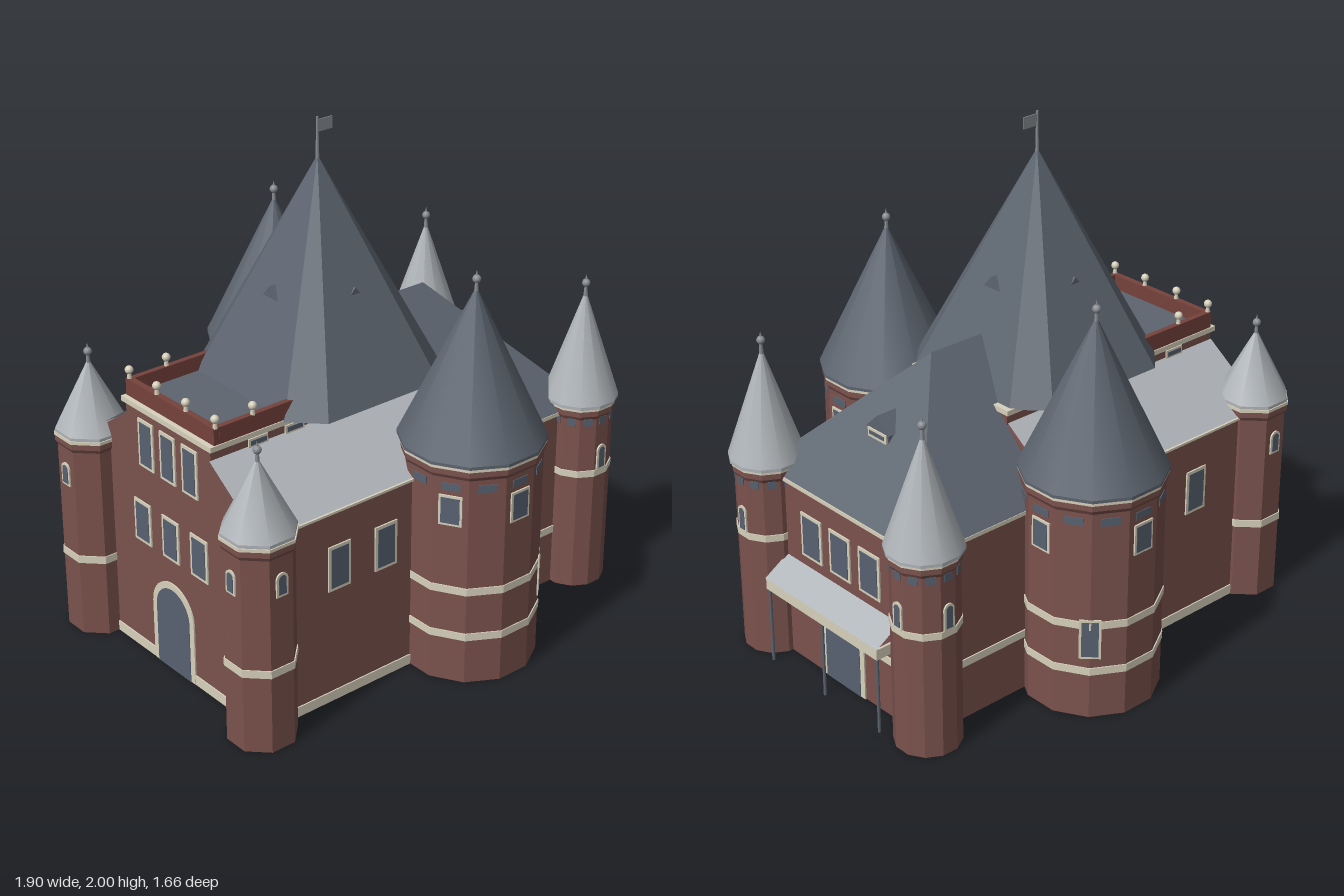
import * as THREE from 'three';

const mat = (name, color, extra = {}) => Object.assign(new THREE.MeshStandardMaterial({ color, ...extra }), { name });
const both = { side: THREE.DoubleSide };

export function createModel() {
  const brick = mat('brick', 0x7b524d, both), darkBrick = mat('parapet brick', 0x76423b);
  const cream = mat('cream stone', 0xd8d1bd), slate = mat('slate', 0x5d6570, both);
  const pale = mat('pale lead', 0xb0b5b9, both), glass = mat('glass', 0x576270);
  const metal = mat('metal', 0x8a8e93);

  const model = new THREE.Group();
  model.name = 'gatehouse';

  const add = (name, geo, material, x = 0, y = 0, z = 0, parent = model) => {
    const m = new THREE.Mesh(geo, material);
    m.name = name;
    m.position.set(x, y, z);
    parent.add(m);
    return m;
  };
  // box given by its limits
  const box = (name, m, x0, x1, y0, y1, z0, z1) =>
    add(name, new THREE.BoxGeometry(x1 - x0, y1 - y0, z1 - z0), m, (x0 + x1) / 2, (y0 + y1) / 2, (z0 + z1) / 2);
  // flat convex polygons with corners counter-clockwise
  const faces = (name, m, polys) => {
    const p = [];
    for (const f of polys) for (let i = 1; i < f.length - 1; i++) p.push(...f[0], ...f[i], ...f[i + 1]);
    const g = new THREE.BufferGeometry();
    g.setAttribute('position', new THREE.Float32BufferAttribute(p, 3));
    g.computeVertexNormals();
    return add(name, g, m);
  };
  const faceted = (geo) => {
    const g = geo.toNonIndexed();
    g.computeVertexNormals();
    return g;
  };
  // walls open at the bottom, from a [z, y] section run along x
  const shell = (name, section, x0, x1) => {
    const at = (x) => section.map(([z, y]) => [x, y, z]);
    const a = at(x0), b = at(x1), polys = [a, [...b].reverse()];
    for (let i = 0; i < a.length - 1; i++) polys.push([a[i], b[i], b[i + 1], a[i + 1]]);
    faces(name, brick, polys);
  };
  // raised course around a rectangular block
  const course = (name, x0, x1, y0, y1, z0, z1, t, westSide = true) => {
    box(name, cream, x0, x1 + t, y0, y1, z1, z1 + t);
    box(name, cream, x0, x1 + t, y0, y1, z0 - t, z0);
    box(name, cream, x1, x1 + t, y0, y1, z0, z1);
    if (westSide) box(name, cream, x0 - t, x0, y0, y1, z0 - t, z1 + t);
  };
  // window or door plate standing on its own origin
  const plate = (w, h, y0, arched, depth) => {
    const s = new THREE.Shape();
    s.moveTo(-w / 2, y0);
    s.lineTo(w / 2, y0);
    if (arched) s.absarc(0, h - w / 2, w / 2, 0, Math.PI, false);
    else s.lineTo(w / 2, h).lineTo(-w / 2, h);
    s.closePath();
    return new THREE.ExtrudeGeometry(s, { depth, bevelEnabled: false, curveSegments: 10 });
  };
  // framed opening facing the direction (sin a, 0, cos a)
  const opening = (name, x, y, z, a, w, h, { arched = false, rim = 0.012, sill = rim } = {}) => {
    const g = new THREE.Group();
    g.name = name;
    g.position.set(x, y, z);
    g.rotation.y = a;
    add('frame', plate(w, h, 0, arched, 0.006), cream, 0, 0, 0, g);
    add('pane', plate(w - 2 * rim, h - rim, sill, arched, 0.008), glass, 0, 0, 0, g);
    model.add(g);
  };
  const EAST = Math.PI / 2, WEST = -Math.PI / 2;

  // west block with shoulders under the lean-to roofs
  shell('westBlock', [[0.52, 0], [0.52, 0.78], [0.25, 0.97], [-0.25, 0.97], [-0.52, 0.78], [-0.52, 0]], -0.82, 0.24);
  course('westPlinth', -0.82, 0.24, 0, 0.04, -0.52, 0.52, 0.005);
  box('centreBlock', brick, -0.82, 0.24, 0.9, 1.02, -0.25, 0.25);
  box('centreCornice', cream, -0.83, 0.25, 1.015, 1.035, -0.265, 0.265);
  for (const s of [1, -1]) {
    faces('leanToRoof', pale, [s > 0
      ? [[-0.825, 0.784, 0.524], [0.235, 0.784, 0.524], [0.235, 0.977, 0.25], [-0.825, 0.977, 0.25]]
      : [[-0.825, 0.977, -0.25], [0.235, 0.977, -0.25], [0.235, 0.784, -0.524], [-0.825, 0.784, -0.524]]]);
    box('eaveMoulding', cream, -0.82, 0.1, 0.774, 0.783, s * 0.525 - 0.006, s * 0.525 + 0.006);
    const a = s > 0 ? 0 : Math.PI;
    for (const x of [-0.473, -0.257]) opening('sideWindow', x, 0.462, s * 0.52, a, 0.102, 0.18);
    for (const x of [-0.615, -0.452]) opening('atticWindow', x, 0.972, s * 0.25, a, 0.085, 0.034, { rim: 0.008 });
  }

  // west face
  opening('westDoor', -0.82, 0, 0, WEST, 0.25, 0.37, { arched: true, rim: 0.026, sill: 0 });
  for (const z of [-0.17, 0, 0.17]) opening('westWindow', -0.82, 0.47, z, WEST, 0.1, 0.17);
  for (const z of [-0.13, 0, 0.13]) opening('westUpperWindow', -0.82, 0.79, z, WEST, 0.09, 0.19);

  // roof terrace with parapet and ball ornaments
  box('terraceFloor', slate, -0.8, -0.4, 1.03, 1.042, -0.245, 0.245);
  box('parapetEnd', darkBrick, -0.81, -0.785, 1.035, 1.1, -0.26, 0.26);
  for (const s of [1, -1]) box('parapetSide', darkBrick, -0.785, -0.42, 1.035, 1.1, s * 0.25 - 0.011, s * 0.25 + 0.011);
  for (const [x, z] of [[-0.8, -0.25], [-0.8, -0.083], [-0.8, 0.088], [-0.8, 0.255], [-0.638, -0.25], [-0.638, 0.255]]) {
    add('parapetBall', new THREE.SphereGeometry(0.016, 10, 8), cream, x, 1.133, z);
    add('ballStem', new THREE.CylinderGeometry(0.006, 0.01, 0.025, 6), cream, x, 1.11, z);
  }

  // great eight-sided spire
  const cx = -0.14, cz = 0.008, tip = [cx, 1.86, cz];
  const rim = [[0.26, 0.37], [0.37, 0.26], [0.37, -0.26], [0.26, -0.37], [-0.26, -0.37], [-0.37, -0.26], [-0.37, 0.26], [-0.26, 0.37]]
    .map(([x, z]) => [cx + x, 1.03, cz + z]);
  faces('greatSpire', slate, [...rim.map((p, i) => [p, rim[(i + 1) % 8], tip]), [...rim].reverse()]);
  // little triangular vents, the front and back ones set deeper
  for (let k = 0; k < 4; k++) {
    const d = k % 2 ? 0.222 : 0.207;
    const v = faces('spireVent', slate, [
      [[-0.04, 1.375, d], [0.04, 1.375, d], [0, 1.42, d]],
      [[0.04, 1.375, d], [0.04, 1.375, 0.19], [0, 1.42, 0.18], [0, 1.42, d]],
      [[-0.04, 1.375, 0.19], [-0.04, 1.375, d], [0, 1.42, d], [0, 1.42, 0.18]]]);
    v.position.set(cx, 0, cz);
    v.rotation.y = k * Math.PI / 2;
  }
  add('flagPole', new THREE.CylinderGeometry(0.004, 0.007, 0.16, 6), metal, cx, 1.92, cz);
  box('flag', metal, cx, cx + 0.068, 1.944, 1.989, cz - 0.002, cz + 0.002);

  // east block with hipped roof
  const z0 = -0.455, z1 = 0.438;
  shell('eastBlock', [[z1, 0], [z1, 0.74], [z0, 0.74], [z0, 0]], 0.235, 0.82);
  course('eastCornice', 0.24, 0.82, 0.734, 0.749, z0, z1, 0.011, false);
  course('eastBand', 0.24, 0.82, 0.22, 0.25, z0, z1, 0.005, false);
  const A = [0.1, 0.75, z1 + 0.01], B = [0.828, 0.75, z1 + 0.01], C = [0.828, 0.75, z0 - 0.01], D = [0.1, 0.75, z0 - 0.01];
  const R = [0.1, 1.22, -0.008], Q = [0.385, 1.22, -0.008];
  faces('hippedRoof', slate, [[A, B, Q, R], [B, C, Q], [C, D, R, Q]]);

  // dormer in the hip
  box('dormerCheek', slate, 0.56, 0.63, 0.93, 0.99, -0.058, 0.058);
  opening('dormerWindow', 0.63, 0.95, 0, EAST, 0.102, 0.04, { rim: 0.01, sill: 0.015 });
  faces('dormerRoof', slate, [
    [[0.632, 0.99, 0.063], [0.632, 0.99, -0.063], [0.632, 1.05, 0]],
    [[0.55, 0.99, 0.063], [0.632, 0.99, 0.063], [0.632, 1.05, 0], [0.53, 1.05, 0]],
    [[0.632, 0.99, -0.063], [0.55, 0.99, -0.063], [0.53, 1.05, 0], [0.632, 1.05, 0]]]);

  // east face: door, windows and canopy on posts
  opening('eastDoor', 0.82, 0, -0.003, EAST, 0.245, 0.305, { arched: true, rim: 0.024, sill: 0 });
  for (const z of [-0.17, -0.003, 0.162]) opening('eastWindow', 0.82, 0.462, z, EAST, 0.118, 0.18);
  faces('canopy', pale, [[[0.925, 0.355, 0.322], [0.925, 0.355, -0.328], [0.82, 0.42, -0.328], [0.82, 0.42, 0.322]]]);
  box('canopyFascia', cream, 0.912, 0.924, 0.31, 0.354, -0.325, 0.319);
  for (const z of [-0.32, 0.314]) box('canopySide', cream, 0.82, 0.922, 0.31, 0.352, z - 0.005, z + 0.005);
  for (const z of [-0.317, -0.003, 0.311]) add('canopyPost', new THREE.CylinderGeometry(0.006, 0.006, 0.32, 6), slate, 0.915, 0.16, z);

  // towers open at the bottom: apothem r, wall top h, roof tip t, bands as [bottom, top]
  const tower = (name, { x, z, n, r, h, t, roofR, roof, bands, frieze, windows }) => {
    const k = 1 / Math.cos(Math.PI / n), s = Math.sign(z);
    const turned = (part, m, profile) => add(name + part, faceted(new THREE.LatheGeometry(
      profile.map(([a, y]) => new THREE.Vector2(a * k, y)), n, Math.PI / n)), m, x, 0, z);
    const ring = (part, m, d, y0, y1) => turned(part, m, [[r, y0], [r + d, y0], [r + d, y1], [r, y1]]);
    turned('Wall', brick, [[r, 0], [r, h]]);
    for (const [b0, b1] of bands) ring('Band', cream, 0.004, b0, b1);
    turned('Corbel', brick, [[r, h - 0.05], [r + 0.008, h - 0.035], [r + 0.008, h - 0.01]]);
    ring('Cornice', cream, 0.011, h - 0.012, h);
    turned('Eave', roof, [[r, h], [roofR, h], [roofR, h + 0.012]]);
    add(name + 'Roof', new THREE.ConeGeometry(roofR * k, t - h - 0.012, n, 1, true), roof, x, (t + h + 0.012) / 2, z)
      .rotation.y = Math.PI / n;
    add(name + 'FinialStem', new THREE.CylinderGeometry(0.005, 0.009, 0.05, 6), metal, x, t, z);
    add(name + 'FinialBall', new THREE.SphereGeometry(0.016, 10, 8), metal, x, t + 0.028, z);
    add(name + 'FinialPoint', new THREE.ConeGeometry(0.006, 0.025, 6), metal, x, t + 0.05, z);
    // small dark recesses below the cornice
    if (frieze) for (let i = 0; i < n; i++) {
      const a = i * 2 * Math.PI / n;
      add(name + 'Frieze', new THREE.BoxGeometry(r * 0.28, 0.03, 0.006), glass,
        x + Math.sin(a) * r, frieze, z + Math.cos(a) * r).rotation.y = a;
    }
    for (const [deg, y, w, hh, arched, d = r] of windows) {
      const a = s > 0 ? deg * Math.PI / 180 : Math.PI - deg * Math.PI / 180;
      opening(name + 'Window', x + Math.sin(a) * d, y, z + Math.cos(a) * d, a, w, hh, { arched, rim: 0.009 });
    }
  };
  for (const s of [1, -1]) {
    tower('greatTower', { x: 0.117, z: s * 0.566 - 0.004, n: 12, r: 0.25, h: 0.888, t: 1.47, roofR: 0.264, roof: slate,
      bands: [[0.18, 0.21], [0.37, 0.4]], frieze: 0.803,
      windows: [[0, 0.65, 0.088, 0.12], [90, 0.65, 0.088, 0.12], [-60, 0.65, 0.088, 0.12], [45, 0.25, 0.08, 0.16, false, 0.254]] });
    tower('eastTower', { x: 0.806, z: s * 0.447 - 0.01, n: 12, r: 0.121, h: 0.782, t: 1.22, roofR: 0.139, roof: pale,
      bands: [[0.485, 0.512]], frieze: 0.72,
      windows: [[0, 0.51, 0.046, 0.105, true], [90, 0.51, 0.046, 0.105, true]] });
    tower('westTower', { x: -0.82, z: s * 0.498 + 0.015, n: 8, r: 0.12, h: 0.822, t: 1.1, roofR: 0.127, roof: pale,
      bands: [[0.308, 0.338]], frieze: 0,
      windows: [[0, 0.62, 0.05, 0.092, true], [-90, 0.62, 0.05, 0.092, true]] });
  }
  return model;
}
